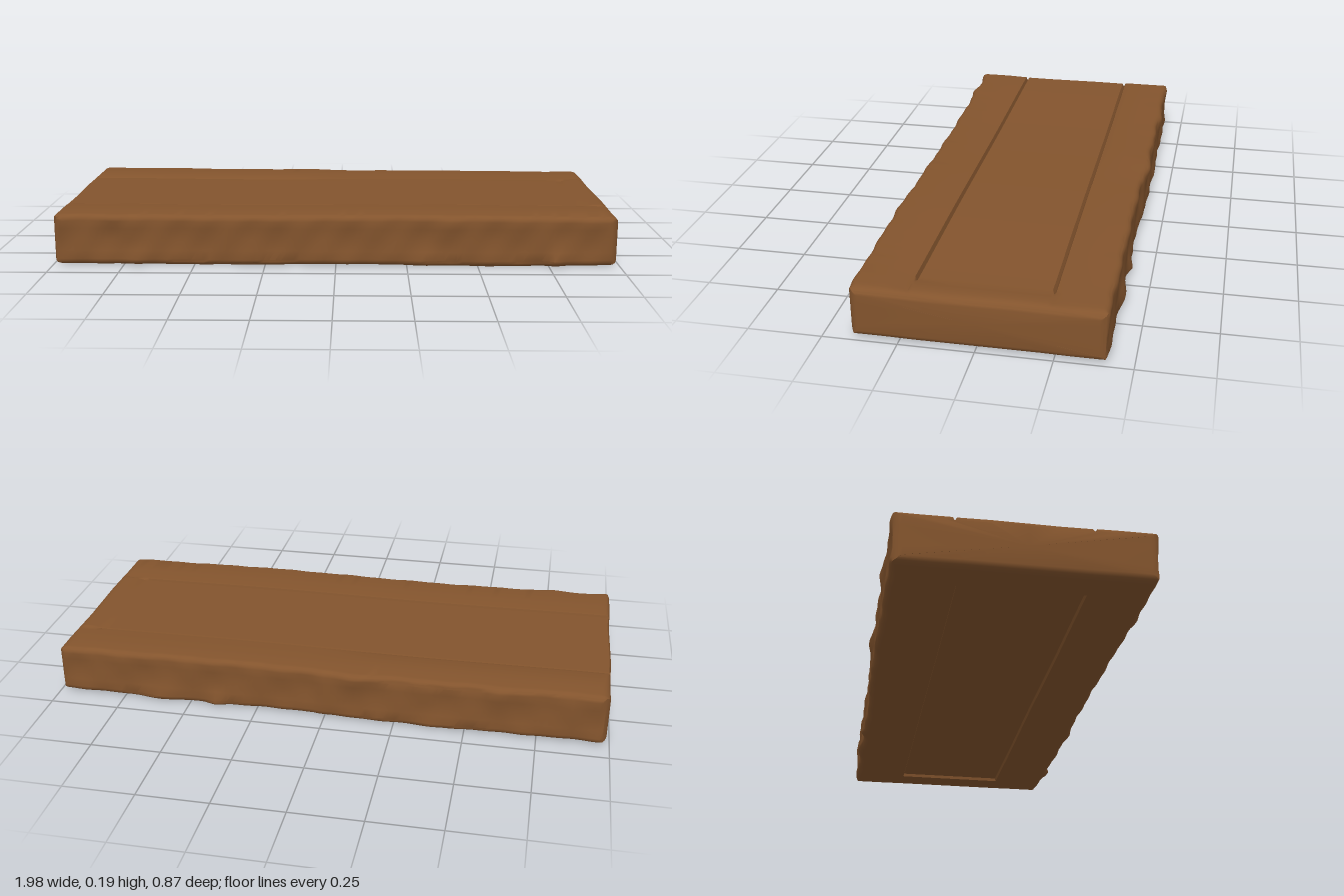
import * as THREE from 'three';
import { toCreasedNormals } from 'three/addons/utils/BufferGeometryUtils.js';

const END = 0.99, ROUND = 0.035;
const clamp = THREE.MathUtils.clamp;
const step = THREE.MathUtils.smoothstep;

// Burrs left on the long edges: x, side (+1 front, -1 back), height, size, length
const burrs = [
  [-0.77, 1, 0.18, 0.010, 0.03], [-0.70, 1, 0.03, 0.010, 0.05], [0.33, 1, 0.03, 0.010, 0.04],
  [0.42, 1, 0.16, 0.008, 0.06], [0.77, 1, 0.03, 0.014, 0.025], [-0.98, 1, 0.18, 0.012, 0.03],
  [-0.62, -1, 0.17, 0.010, 0.04], [-0.38, -1, 0.02, 0.008, 0.04], [-0.12, -1, 0.18, 0.010, 0.05],
  [0.40, -1, 0.02, 0.012, 0.03], [0.60, -1, 0.02, 0.012, 0.05], [0.99, -1, 0.15, 0.008, 0.03],
];

// Cross-section (z, y) at one x: raised edge boards, sunken middle, grooves, underside recess
function section(x) {
  const groove = 0.014 * (1 - step(x, 0.86, 0.9));
  const sunk = 0.006 * (1 - step(x, 0.88, 0.94));
  const recess = Math.abs(x) < 0.868 ? 0.012 : 0;
  const top = 0.189 + 0.002 * Math.sin(x * 5), low = 0.008 + 0.002 * Math.sin(x * 7 + 1);
  const backTop = top + 0.005 * (1 - step(x, -0.25, 0.1));
  const f = 0.412 + 0.003 * Math.sin(x * 4 - 0.5), b = -0.417 - 0.01 * (1 - step(x, 0, 0.05));
  const p = [];
  const corner = (z, y, sz, sy, from) => {
    for (let i = 0; i <= 4; i++) {
      const a = from + i * Math.PI / 8, r = 0.022;
      p.push([z - sz * r + r * Math.cos(a), y - sy * r + r * Math.sin(a)]);
    }
  };
  corner(f, top, 1, 1, 0);
  p.push([0.3, top], [0.235, top - 0.002], [0.219, top - 0.004], [0.214, top - sunk - groove],
    [0.206, top - sunk], [0.1, top - sunk], [0, top - sunk], [-0.12, top - sunk], [-0.226, top - sunk],
    [-0.233, top - sunk - groove], [-0.239, top - 0.004], [-0.26, backTop - 0.002], [-0.33, backTop]);
  corner(b, backTop, -1, 1, Math.PI / 2);
  p.push([b + 0.003, 0.14], [b + 0.004, 0.1], [b + 0.003, 0.06]);
  corner(b, low, -1, -1, Math.PI);
  p.push([-0.3, low], [-0.212, low], [-0.208, low + recess], [0, low + recess],
    [0.203, low + recess], [0.207, low], [0.3, low]);
  corner(f, low, 1, -1, Math.PI * 1.5);
  p.push([f - 0.003, 0.06], [f - 0.005, 0.1], [f - 0.003, 0.14]);
  // Hand-worn waviness and burrs on the long sides
  for (const q of p) {
    if (Math.abs(q[0]) < 0.36) continue;
    const side = Math.sign(q[0]), y = q[1];
    let out = 0.002 * Math.sin(x * 23 + y * 30 + side) + 0.0015 * Math.sin(x * 51 - y * 40);
    for (const [bx, bs, by, size, len] of burrs) {
      if (bs === side) out += size * Math.exp(-(((x - bx) / len) ** 2) - ((y - by) / 0.03) ** 2);
    }
    q[0] += side * out;
  }
  return p;
}

// Loops the cross-sections along x, rounding them in at both ends
function slabGeometry() {
  const stations = [];
  for (let i = 0; i <= 5; i++) {
    const a = i / 5 * Math.PI / 2;
    stations.push([END - ROUND * (1 - Math.sin(a)), ROUND * (1 - Math.cos(a))]);
  }
  const mid = END - ROUND;
  for (let i = 1; i < 90; i++) stations.push([-mid + 2 * mid * i / 90, 0]);
  for (const s of [-1, 1]) stations.push([s * 0.867, 0], [s * 0.869, 0]);
  for (let i = 0; i <= 5; i++) stations.push([-stations[i][0], stations[i][1]]);
  stations.sort((a, b) => a[0] - b[0]);

  const pos = [], index = [];
  let n = 0;
  for (const [x, inset] of stations) {
    const ring = section(x);
    n = ring.length;
    const zs = ring.map(q => q[0]), ys = ring.map(q => q[1]);
    const z0 = Math.min(...zs) + inset, z1 = Math.max(...zs) - inset;
    const y0 = Math.min(...ys) + inset * 0.7, y1 = Math.max(...ys) - inset * 0.7;
    for (const [z, y] of ring) {
      const bow = 0.002 * Math.sin(z * 14) * step(Math.abs(x), 0.9, END);
      pos.push(x + bow, clamp(y, y0, y1), clamp(z, z0, z1));
    }
  }
  const last = (stations.length - 1) * n, centre = stations.length * n;
  pos.push(-END, 0.1, 0, END, 0.1, 0);
  for (let j = 0; j < n; j++) {
    const k = (j + 1) % n;
    for (let i = 0; i < last; i += n) {
      index.push(i + j, i + n + j, i + n + k, i + j, i + n + k, i + k);
    }
    index.push(centre, j, k, centre + 1, last + k, last + j);
  }
  const g = new THREE.BufferGeometry();
  g.setAttribute('position', new THREE.Float32BufferAttribute(pos, 3));
  g.setIndex(index);
  return toCreasedNormals(g, 0.7);
}

export function createModel() {
  const model = new THREE.Group();
  model.name = 'woodenSlab';
  const wood = new THREE.MeshStandardMaterial({ color: 0x83542d });
  wood.name = 'brown wood';
  const slab = new THREE.Mesh(slabGeometry(), wood);
  slab.name = 'plankSlab';
  model.add(slab);
  return model;
}
